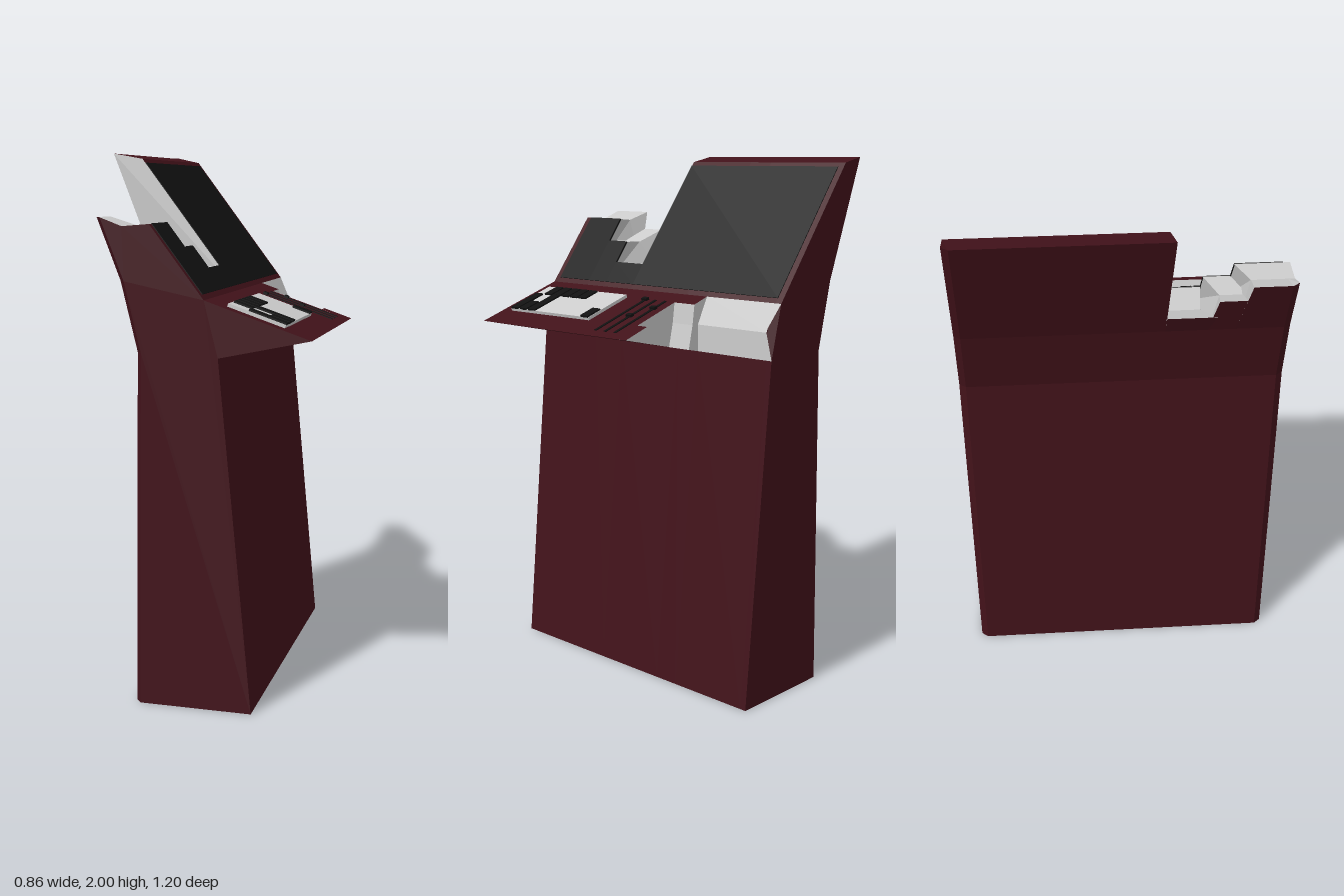
import * as THREE from 'three';

const material = (color) => new THREE.MeshStandardMaterial({ color, flatShading: true, side: THREE.FrontSide });
const MAROON = material(0x42121a);
const BLACK = material(0x111111);
const GREY = material(0xcccccc);

// Cross-section points are [x, y, zShift, greyEdge]; greyEdge marks the edge that follows as broken.
// Joins section a at z0 to section b at z1, with a cap at each end.
function loft(name, a, z0, b, z1, startCap = MAROON, endCap = MAROON) {
  const faces = new Map([[MAROON, []], [GREY, []]]);
  const at = (p, z) => [p[0], p[1], z + (p[2] || 0)];
  const tri = (mat, p, q, r) => faces.get(mat).push(...p, ...q, ...r);
  const n = a.length;
  for (let i = 0; i < n; i++) {
    const j = (i + 1) % n;
    const mat = a[i][3] ? GREY : MAROON;
    tri(mat, at(a[i], z0), at(a[j], z0), at(b[j], z1));
    tri(mat, at(a[i], z0), at(b[j], z1), at(b[i], z1));
  }
  const cap = (pts, z, mat, flip) => {
    const contour = pts.map((p) => new THREE.Vector2(p[0], p[1]));
    for (const [i, j, k] of THREE.ShapeUtils.triangulateShape(contour, [])) {
      const t = [at(pts[i], z), at(pts[j], z), at(pts[k], z)];
      if (flip) t.reverse();
      tri(mat, ...t);
    }
  };
  cap(a, z0, startCap, true);
  cap(b, z1, endCap, false);
  const group = new THREE.Group();
  group.name = name;
  for (const [mat, positions] of faces) {
    if (!positions.length) continue;
    const geometry = new THREE.BufferGeometry();
    geometry.setAttribute('position', new THREE.Float32BufferAttribute(positions, 3));
    geometry.computeVertexNormals();
    const mesh = new THREE.Mesh(geometry, mat);
    mesh.name = mat === GREY ? name + 'Break' : name + 'Shell';
    group.add(mesh);
  }
  return group;
}

// Console edge, from its underside to the foot of the screen
const consoleWhole = [[0.1, 1.29], [0.43, 1.36], [0.05, 1.49]];
const consoleChipped = [[0.1, 1.29, 0, 1], [0.15, 1.3, 0, 1], [0.13, 1.39, 0, 1], [0.12, 1.466], [0.05, 1.49]];
const consoleGone = [[0.1, 1.29, 0, 1], [0.1, 1.39, 0, 1], [0.05, 1.49]];
const consoleGoneEnd = [[0.1, 1.29, 0, 1], [0.1, 1.39, 0.03, 1], [0.05, 1.49]];

// Top edge of the screen back, whole and broken down in steps
const topWhole = [[-0.32, 1.98], [-0.43, 2]];
const topLow = [[-0.02, 1.583, 0, 1], [-0.155, 1.57, 0, 1], [-0.29, 1.62]];
const topMid = [[-0.08, 1.662, 0, 1], [-0.2, 1.655, 0, 1], [-0.317, 1.7]];
const topHigh = [[-0.145, 1.748, 0, 1], [-0.245, 1.74, 0, 1], [-0.345, 1.77]];

// Move the points of a top edge along z, one shift per point
const shifted = (pts, shifts) => pts.map(([x, y, , grey], i) => [x, y, shifts[i], grey]);

// Full cross-section; inset chamfers the rear corners
function section(front, top, inset = 0) {
  const last = top.length - 1;
  const upper = top.map((p, i) => (i === last ? [p[0] + inset, ...p.slice(1)] : p));
  return [
    [-0.22 + inset, 0], [0.22, 0], ...front, ...upper,
    [-0.26 + inset, 1.55], [-0.2 + inset, 1.3],
  ];
}

// Frame lying on the slope from p to q; returns a function placing thin plates by world x and z range
function slope(name, p, q) {
  const group = new THREE.Group();
  group.name = name;
  const dx = q[0] - p[0];
  const length = Math.hypot(dx, q[1] - p[1]);
  const angle = Math.atan2(q[1] - p[1], dx);
  const outward = dx > 0 ? 1 : -1;
  group.position.set(p[0], p[1], 0);
  group.rotation.z = angle;
  const plate = (label, x0, x1, z0, z1, bottom, top, mat) => {
    const s0 = ((x0 - p[0]) / dx) * length;
    const s1 = ((x1 - p[0]) / dx) * length;
    const mesh = new THREE.Mesh(new THREE.BoxGeometry(Math.abs(s1 - s0), top - bottom, z1 - z0), mat);
    mesh.position.set((s0 + s1) / 2, (outward * (bottom + top)) / 2, (z0 + z1) / 2);
    mesh.name = label;
    group.add(mesh);
  };
  return { group, plate };
}

export function createModel() {
  const model = new THREE.Group();
  model.name = 'brokenConsole';

  // Cabinet, in slices from the rear of z to the front
  const gone = section(consoleGone, topWhole);
  const chipped = section(consoleChipped, topWhole);
  const whole = section(consoleWhole, topWhole);
  const wall = section(consoleWhole, shifted(topWhole, [0, 0.012]));
  const low = section(consoleWhole, topLow);
  const lowEnd = section(consoleWhole, shifted(topLow, [0, -0.015, 0.03]));
  const mid = section(consoleWhole, shifted(topMid, [0, 0.045, 0.03]));
  const midEnd = section(consoleWhole, shifted(topMid, [0, 0.045, 0.04]));
  const high = section(consoleWhole, shifted(topHigh, [0, 0.045, 0.04]));
  const highEnd = section(consoleWhole, topHigh);
  model.add(
    loft('farEnd', section(consoleGoneEnd, topWhole, 0.02), -0.6, gone, -0.575),
    loft('farCabinet', gone, -0.575, gone, -0.25),
    loft('chippedCabinet', chipped, -0.25, chipped, -0.15, GREY, GREY),
    loft('middleCabinet', whole, -0.15, wall, 0.15, GREY, GREY),
    loft('lowStep', low, 0.15, lowEnd, 0.3, GREY, GREY),
    loft('middleStep', mid, 0.3, midEnd, 0.4, GREY, GREY),
    loft('highStep', high, 0.4, highEnd, 0.575, GREY, MAROON),
    loft('nearEnd', highEnd, 0.575, section(consoleWhole, topHigh, 0.02), 0.6),
  );

  // Sliver of the console lip past the break
  const lip = [[0.32, 1.337], [0.43, 1.36], [0.32, 1.398, 0, 1]];
  model.add(loft('lipSliver', lip, -0.2, lip, -0.15, GREY, GREY));

  // Dark screen, following the broken steps
  const screen = slope('screen', [0.05, 1.49], [-0.32, 1.98]);
  for (const [top, z0, z1] of [[-0.308, -0.575, 0.15], [-0.02, 0.15, 0.3], [-0.08, 0.3, 0.4], [-0.145, 0.4, 0.575]]) {
    screen.plate('screenPanel', 0.037, top, z0, z1, -0.004, 0.003, BLACK);
  }
  model.add(screen.group);

  // Controls on the console top
  const controls = slope('controls', [0.05, 1.49], [0.43, 1.36]);
  controls.plate('keypadPlate', 0.12, 0.325, 0.1, 0.55, -0.002, 0.012, GREY);
  const columns = [0.125, 0.192, 0.259];
  const keys = [[2, 0.102], [0, 0.257], [0, 0.306], [0, 0.355], [0, 0.405], [1, 0.405], [2, 0.405],
    [0, 0.456], [2, 0.456], [1, 0.506], [2, 0.506]];
  for (const [column, z] of keys) {
    const x = columns[column];
    controls.plate('key', x, x + 0.066, z, z + 0.041, 0.01, 0.018, BLACK);
  }
  for (const [z, knob] of [[-0.104, 0.185], [-0.053, 0.26], [-0.003, 0.125]]) {
    controls.plate('sliderTrack', 0.12, 0.39, z - 0.006, z + 0.006, -0.002, 0.003, BLACK);
    controls.plate('sliderKnob', knob - 0.008, knob + 0.008, z - 0.013, z + 0.013, 0, 0.01, BLACK);
  }
  model.add(controls.group);

  return model;
}
